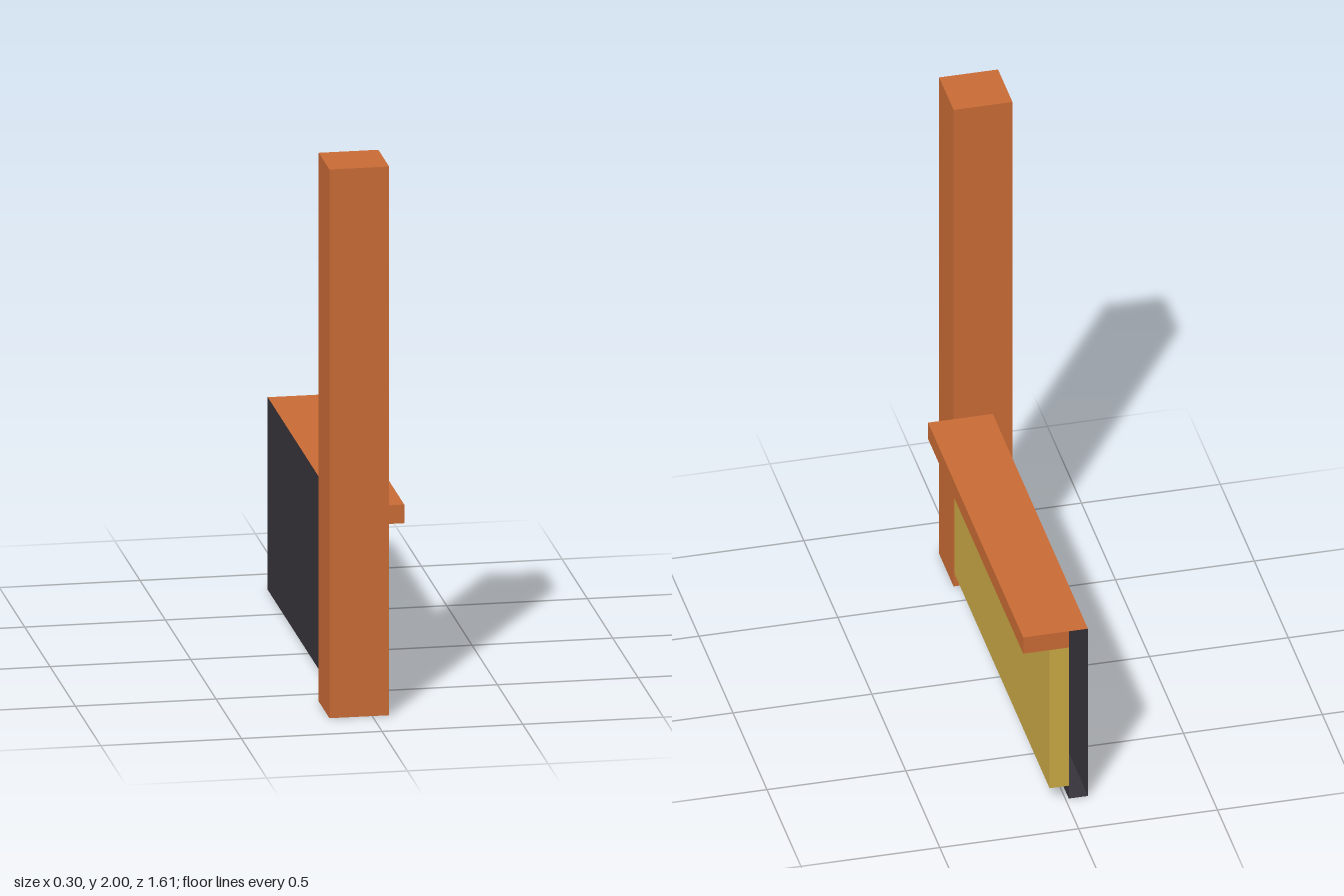
import * as THREE from 'three';
import { mergeGeometries } from 'three/addons/utils/BufferGeometryUtils.js';

const FACES = ['+x', '-x', '+y', '-y', '+z', '-z'];

// Box between two corners, keeping only the listed faces (an open shell)
function shell([x0, y0, z0], [x1, y1, z1], keep = FACES) {
  const g = new THREE.BoxGeometry(x1 - x0, y1 - y0, z1 - z0);
  g.translate((x0 + x1) / 2, (y0 + y1) / 2, (z0 + z1) / 2);
  const index = Array.from(g.index.array);
  g.setIndex(keep.flatMap((f) => {
    const start = FACES.indexOf(f) * 6;
    return index.slice(start, start + 6);
  }));
  g.clearGroups();
  return g;
}

function part(name, color, ...shells) {
  const material = new THREE.MeshStandardMaterial({ color, side: THREE.DoubleSide });
  const mesh = new THREE.Mesh(mergeGeometries(shells), material);
  mesh.name = name;
  return mesh;
}

export function createModel() {
  const model = new THREE.Group();
  model.name = 'wallWithPost';

  const orange = 0xc86a35, yellow = 0xc8a844, dark = 0x37333b;
  const zBack = -0.806, zPost = 0.594, zFront = 0.806;
  const xBack = -0.081, xBase = -0.012, xPanel = 0.057, xLedge = 0.152;
  const yBase = 0.054, yLedge = 0.634, yTop = 0.702;

  model.add(
    // Tall square post
    part('post', orange, shell([-0.152, 0, zPost], [0.06, 2, zFront])),

    // Overhanging ledge: top and lip, end caps, underside of the overhang
    part('ledge', orange,
      shell([xBack, yLedge, zBack], [xLedge, yTop, zPost], ['+x', '+y']),
      shell([xBase, yLedge, zBack], [xLedge, yTop, zPost], ['+z', '-z']),
      shell([xPanel, yLedge, zBack], [xLedge, yTop, zPost], ['-y'])),

    // Raised panel, hollow towards the backing
    part('panel', yellow,
      shell([xBase, yBase, zBack], [xPanel, yLedge, zPost], ['+x', '-y', '+z', '-z'])),

    // Thin backing sheet with the recessed base strip, open at its ends
    part('backing', dark,
      shell([xBack, 0, zBack], [xBase, yTop, zPost], ['-x']),
      shell([xBack, 0, zBack], [xBase, yBase, zPost], ['+x', '-y'])),
  );

  return model;
}
